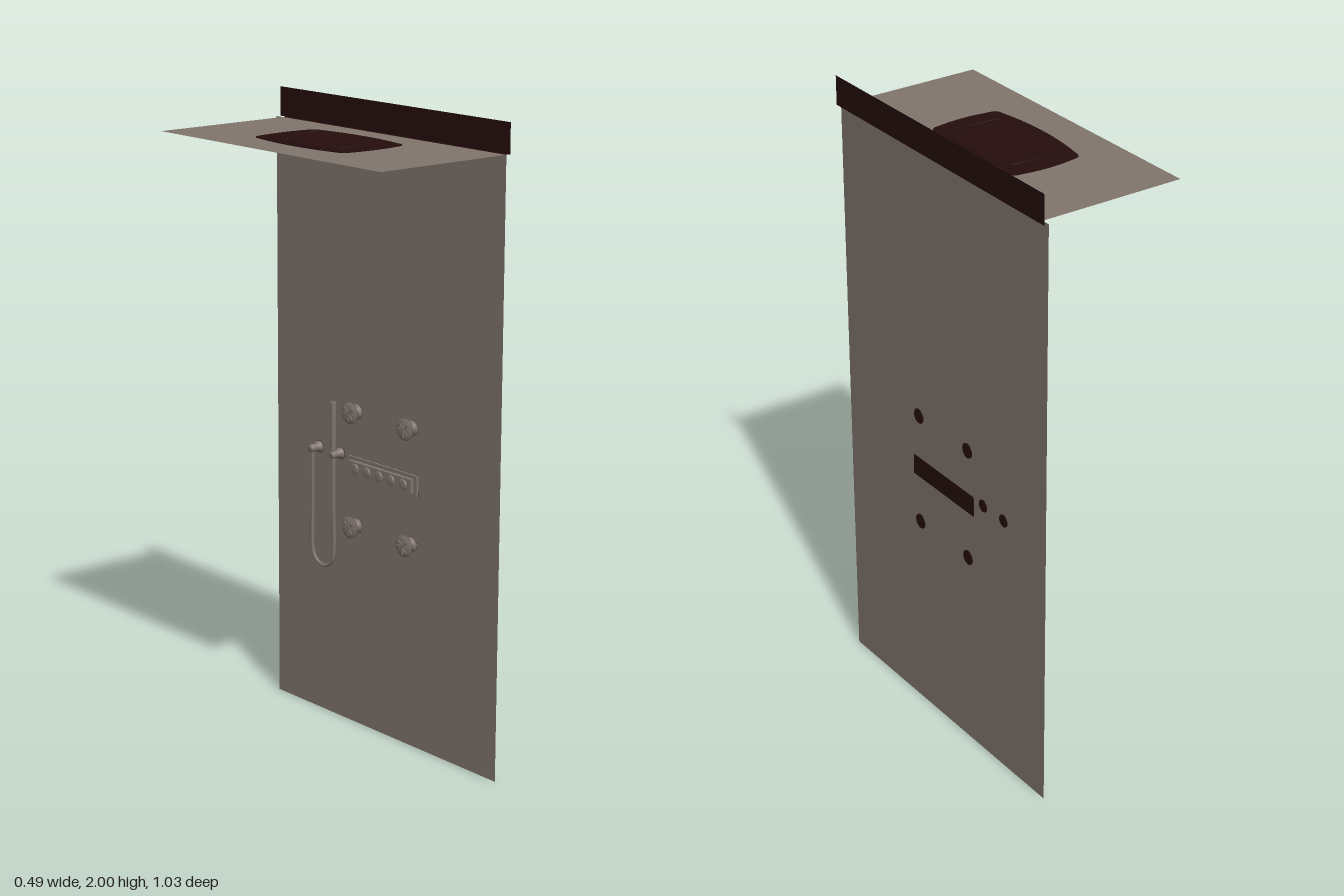
import * as THREE from 'three';

export function createModel() {
  const model = new THREE.Group();
  const taupe = new THREE.MeshStandardMaterial({ name: 'taupe', color: 0x80756d, side: THREE.DoubleSide });
  const dark = new THREE.MeshStandardMaterial({ name: 'darkBrown', color: 0x260d0d, side: THREE.DoubleSide });

  const WALL = 0.227, TOP = 1.908;

  function add(name, geometry, material, x = 0, y = 0, z = 0, parent = model) {
    const mesh = new THREE.Mesh(geometry, material);
    mesh.name = name;
    mesh.position.set(x, y, z);
    parent.add(mesh);
    return mesh;
  }
  // Turned part whose axis runs along +x; profile is [radius, x]
  const turned = (profile, sides = 24) =>
    new THREE.LatheGeometry(profile.map(([r, h]) => new THREE.Vector2(r, h)), sides).rotateZ(-Math.PI / 2);
  // Dark disc showing on the outer face of the wall
  const outerDisc = (name, r, y, z) =>
    add(name, new THREE.CylinderGeometry(r, r, 0.003, 20).rotateZ(Math.PI / 2), dark, WALL + 0.0005, y, z);

  // Wall and ceiling sheets
  add('wallPanel', new THREE.PlaneGeometry(1.032, TOP).rotateY(Math.PI / 2), taupe, WALL, TOP / 2, 0);
  add('ceilingPanel', new THREE.PlaneGeometry(0.472, 1).rotateX(-Math.PI / 2), taupe, -0.007, TOP, 0.012);

  // Dark upstand with its narrow ledge
  add('topLedge', new THREE.PlaneGeometry(0.014, 1).rotateX(-Math.PI / 2), dark, 0.236, TOP, 0.012);
  add('topUpstand', new THREE.PlaneGeometry(1.032, 2 - TOP).rotateY(Math.PI / 2), dark, 0.242, (2 + TOP) / 2, 0);

  // Overhead plate: outline with gently bulging sides
  function bulged(w, d, bulge, r) {
    const s = new THREE.Shape();
    s.moveTo(-w + r, -d);
    s.quadraticCurveTo(0, -d - bulge, w - r, -d);
    s.quadraticCurveTo(w, -d, w, -d + r);
    s.quadraticCurveTo(w + bulge * 2, 0, w, d - r);
    s.quadraticCurveTo(w, d, w - r, d);
    s.quadraticCurveTo(0, d + bulge, -w + r, d);
    s.quadraticCurveTo(-w, d, -w, d - r);
    s.quadraticCurveTo(-w - bulge * 2, 0, -w, -d + r);
    s.quadraticCurveTo(-w, -d, -w + r, -d);
    return s;
  }
  const flat = (shape, depth) =>
    new THREE.ExtrudeGeometry(shape, { depth, bevelEnabled: false, curveSegments: 12 }).rotateX(-Math.PI / 2);
  const PX = 0.006, PZ = -0.004;
  add('overheadPlateTop', flat(bulged(0.118, 0.205, 0.018, 0.025), 0.003), dark, PX, TOP + 0.0005, PZ);
  add('overheadPlateRaised', flat(bulged(0.1, 0.18, 0.014, 0.02), 0.002), dark, PX, TOP + 0.0035, PZ);
  add('overheadPlateUnderside', flat(bulged(0.1, 0.18, 0.014, 0.02), 0.005), taupe, PX, TOP - 0.0055, PZ);
  for (const s of [-1, 1]) {
    const arc = new THREE.QuadraticBezierCurve3(
      new THREE.Vector3(-0.08, 0, s * 0.145), new THREE.Vector3(0, 0, s * 0.157), new THREE.Vector3(0.08, 0, s * 0.145));
    add('overheadRib', new THREE.TubeGeometry(arc, 12, 0.0015, 6), dark, PX, TOP + 0.0058, PZ);
  }

  // Four round wall jets
  for (const y of [0.66, 1.03]) for (const z of [-0.125, 0.13]) {
    const jet = new THREE.Group();
    jet.name = 'wallJet';
    jet.position.set(0, y, z);
    model.add(jet);
    add('jetBody', turned([[0, 0.19], [0.018, 0.19], [0.035, 0.193], [0.035, 0.199], [0.016, 0.203],
      [0.014, 0.215], [0.024, 0.222], [0.024, WALL - 0.001]]), taupe, 0, 0, 0, jet);
    for (let i = 0; i < 4; i++) {
      const rib = add('jetRib', new THREE.BoxGeometry(0.003, 0.004, 0.05), taupe, 0.189, 0, 0, jet);
      rib.rotation.x = i * Math.PI / 4;
    }
    outerDisc('jetBack', 0.024, y, z);
  }

  // Control bar with a row of five knobs
  const BY = 0.852;
  add('controlBarBack', new THREE.BoxGeometry(0.003, 0.066, 0.316), dark, WALL + 0.0005, BY, 0.002);
  add('controlBarBase', new THREE.BoxGeometry(0.008, 0.066, 0.316), taupe, WALL - 0.005, BY, 0.002);
  add('controlBarBody', new THREE.BoxGeometry(0.014, 0.044, 0.29), taupe, 0.212, BY, 0.002);
  for (let i = -2; i <= 2; i++) {
    add('controlKnob', turned([[0, 0.199], [0.014, 0.199], [0.017, 0.202], [0.017, 0.206]]), taupe, 0, BY, 0.002 + i * 0.056);
  }

  // Hand shower: two wall brackets, stick and hanging hose
  const HX = 0.198, HY = 0.88, Z1 = -0.205, Z2 = -0.308;
  for (const z of [Z1, Z2]) {
    add('hoseBracket', turned([[0, 0.188], [0.012, 0.188], [0.013, 0.208], [0.01, 0.212], [0.019, 0.222],
      [0.019, WALL - 0.001]]), taupe, 0, HY, z);
    outerDisc('bracketBack', 0.02, HY, z);
  }
  add('handShower', new THREE.CylinderGeometry(0.01, 0.007, 0.2, 16), taupe, HX - 0.002, 0.95, Z1);
  const mid = (Z1 + Z2) / 2, r = (Z1 - Z2) / 2;
  const path = [new THREE.Vector3(HX, HY, Z1), new THREE.Vector3(HX, 0.72, Z1)];
  for (let i = 0; i <= 6; i++) {
    const a = i * Math.PI / 6;
    path.push(new THREE.Vector3(HX, 0.555 - r * Math.sin(a), mid + r * Math.cos(a)));
  }
  path.push(new THREE.Vector3(HX, 0.72, Z2), new THREE.Vector3(HX, HY, Z2));
  add('hose', new THREE.TubeGeometry(new THREE.CatmullRomCurve3(path), 60, 0.006, 8), taupe);

  return model;
}
